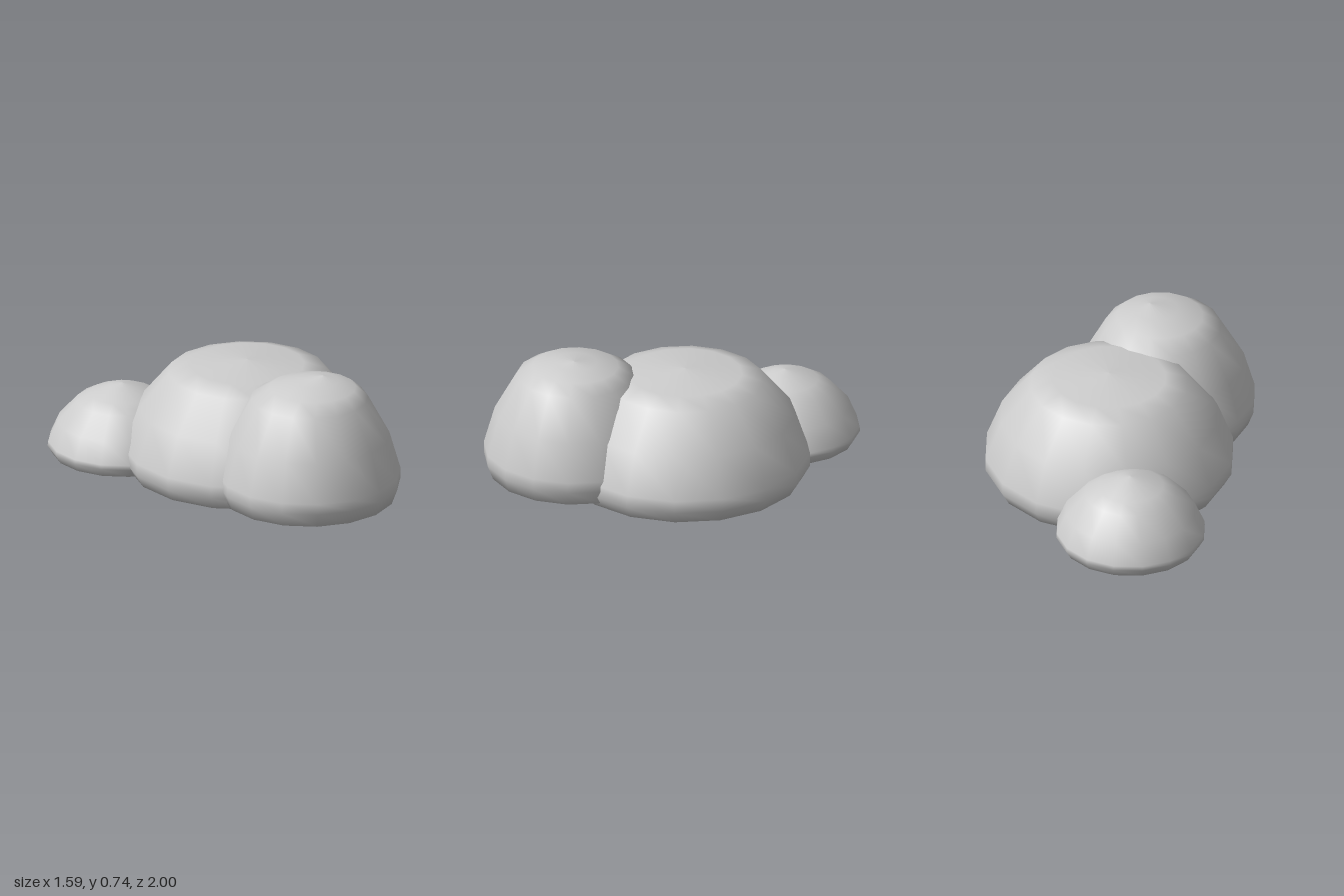
import * as THREE from 'three';

const material = new THREE.MeshStandardMaterial({ color: 0xcccccc, side: THREE.DoubleSide });

// Hollow boulder: a 16-sided lathe, open underneath.
// Profile rows are [radius, height, sideways shift of that ring].
function boulder(name, x, z, profile) {
  const points = profile.map(([r, y]) => new THREE.Vector2(r, y));
  const geometry = new THREE.LatheGeometry(points, 16);
  const pos = geometry.attributes.position;
  for (let i = 0; i < pos.count; i++) {
    const shift = profile[i % profile.length][2] || 0;
    pos.setX(i, pos.getX(i) + shift);
  }
  const mesh = new THREE.Mesh(geometry, material);
  mesh.name = name;
  mesh.position.set(x, 0, z);
  return mesh;
}

export function createModel() {
  const group = new THREE.Group();
  group.name = 'boulderCluster';

  // Broad, flat-topped middle boulder
  group.add(boulder('largeBoulder', 0.11, -0.1, [
    [0.23, 0], [0.52, 0.004], [0.64, 0.03], [0.68, 0.1], [0.68, 0.17],
    [0.595, 0.39], [0.43, 0.588], [0.31, 0.628], [0, 0.655],
  ]));

  // Tall front boulder with its peak leaning to the left
  group.add(boulder('frontBoulder', 0.17, 0.49, [
    [0.165, 0.03], [0.37, 0.031], [0.47, 0.06], [0.5, 0.14], [0.5, 0.2],
    [0.44, 0.41], [0.318, 0.628, 0.005], [0.235, 0.685, 0.025],
    [0.12, 0.718, 0.05], [0, 0.74, 0.09],
  ]));

  // Small low boulder at the back
  group.add(boulder('smallBoulder', -0.39, -0.6, [
    [0.135, 0.02], [0.31, 0.021], [0.38, 0.037], [0.408, 0.085], [0.405, 0.11],
    [0.355, 0.225], [0.25, 0.34], [0.18, 0.38], [0.07, 0.425], [0, 0.437],
  ]));

  return group;
}
